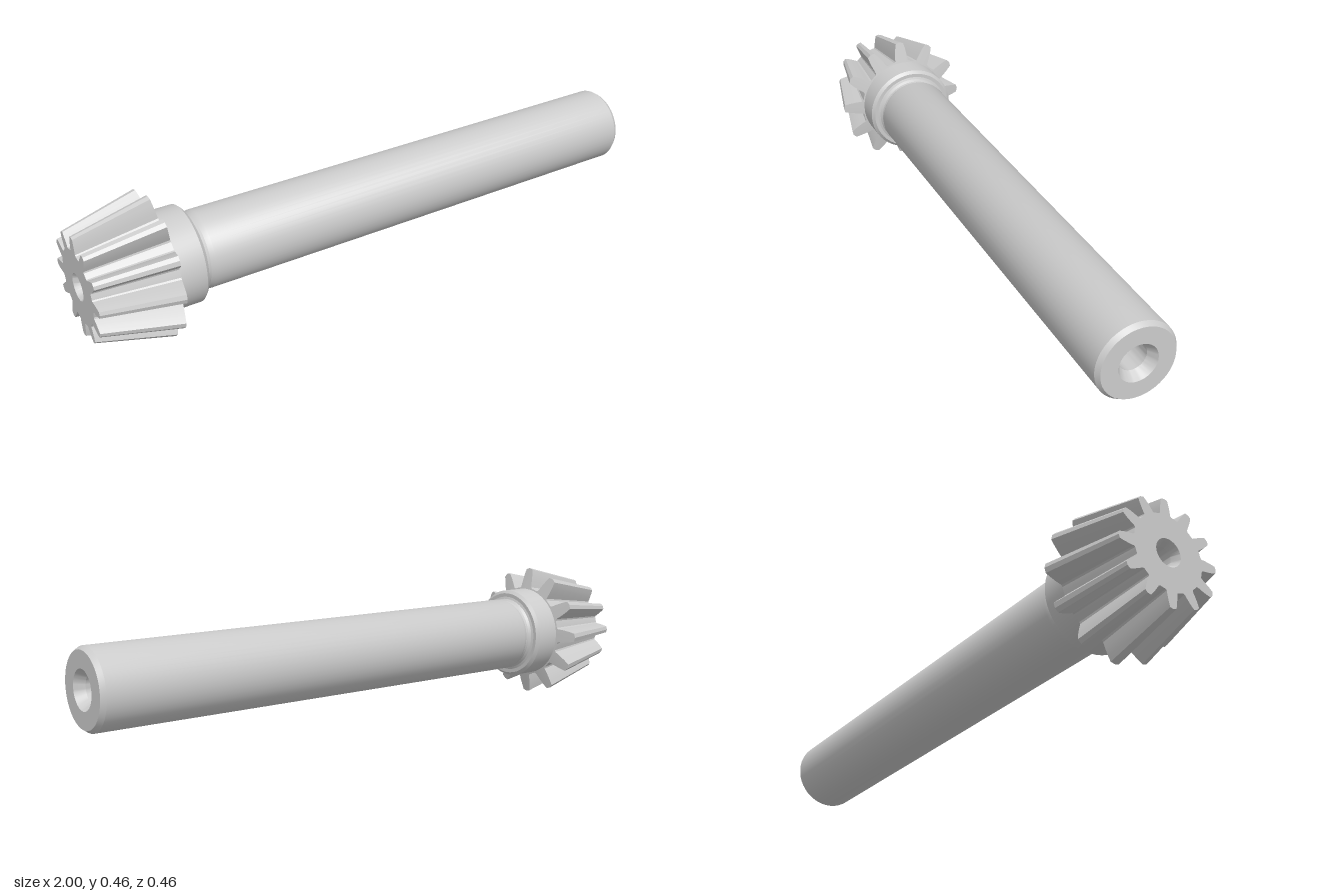
import * as THREE from 'three';
import { toCreasedNormals } from 'three/addons/utils/BufferGeometryUtils.js';

const TEETH = 12;
const material = new THREE.MeshStandardMaterial({ color: 0xcccccc });

// Gear outline as [radius, angle] pairs, at the wide end
function gearOutline() {
  const flank = [[0.16, 0.029], [0.164, 0.0245], [0.185, 0.0225], [0.208, 0.019], [0.226, 0.0145]];
  const half = flank.map(([r, w]) => [r, Math.asin(w / r)]);
  const tooth = [
    ...half.map(([r, a]) => [r, -a]),
    [0.23, 0],
    ...half.slice().reverse(),
    [0.16, Math.PI / TEETH],
  ];
  const outline = [];
  for (let t = 0; t < TEETH; t++) {
    for (const [r, a] of tooth) outline.push([r, a + (t * 2 * Math.PI) / TEETH]);
  }
  return outline;
}

// Tapered gear: rings of points joined along the axis, from the bore to the back cone
function gearGeometry() {
  const outline = gearOutline();
  const circle = (x, radius) => outline.map(([, a]) => [x, radius * Math.cos(a), radius * Math.sin(a)]);
  const toothed = (scale, xAt) => outline.map(([r, a]) =>
    [xAt(r), scale * r * Math.cos(a), scale * r * Math.sin(a)]);
  const backCone = (r) => -0.76 + (0.23 - r) * 0.24;
  const rings = [
    circle(-0.88, 0.0005),
    circle(-0.9, 0.03),
    circle(-0.975, 0.03),
    circle(-1, 0.043),
    toothed(0.74, () => -1),
    toothed(1, backCone),
    circle(backCone(0.14), 0.14),
  ];
  const positions = [];
  for (let k = 0; k < rings.length - 1; k++) {
    const a = rings[k], b = rings[k + 1];
    for (let i = 0; i < outline.length; i++) {
      const j = (i + 1) % outline.length;
      positions.push(...a[i], ...a[j], ...b[j], ...a[i], ...b[j], ...b[i]);
    }
  }
  const geometry = new THREE.BufferGeometry();
  geometry.setAttribute('position', new THREE.Float32BufferAttribute(positions, 3));
  return toCreasedNormals(geometry, 0.5);
}

// Turned part around the x axis from [radius, x] pairs
function turned(profile) {
  const geometry = new THREE.LatheGeometry(profile.map(([r, x]) => new THREE.Vector2(r, x)), 48);
  geometry.rotateZ(-Math.PI / 2);
  return toCreasedNormals(geometry, 0.5);
}

export function createModel() {
  const model = new THREE.Group();
  const add = (name, geometry) => {
    const mesh = new THREE.Mesh(geometry, material);
    mesh.name = name;
    mesh.position.y = 0.23;
    model.add(mesh);
  };

  add('bevelGear', gearGeometry());

  // Collar with a chamfered rim
  add('collar', turned([
    [0.1, -0.748], [0.155, -0.748], [0.155, -0.66], [0.145, -0.65], [0.1, -0.65],
  ]));

  // Shaft with filleted relief groove, chamfered end and blind centre hole
  add('shaft', turned([
    [0.135, -0.651], [0.125, -0.647], [0.119, -0.639], [0.118, -0.63], [0.125, -0.615],
    [0.125, 0.985], [0.115, 1],
    [0.061, 1], [0.043, 0.97], [0.043, 0.83], [0, 0.805],
  ]));

  return model;
}
